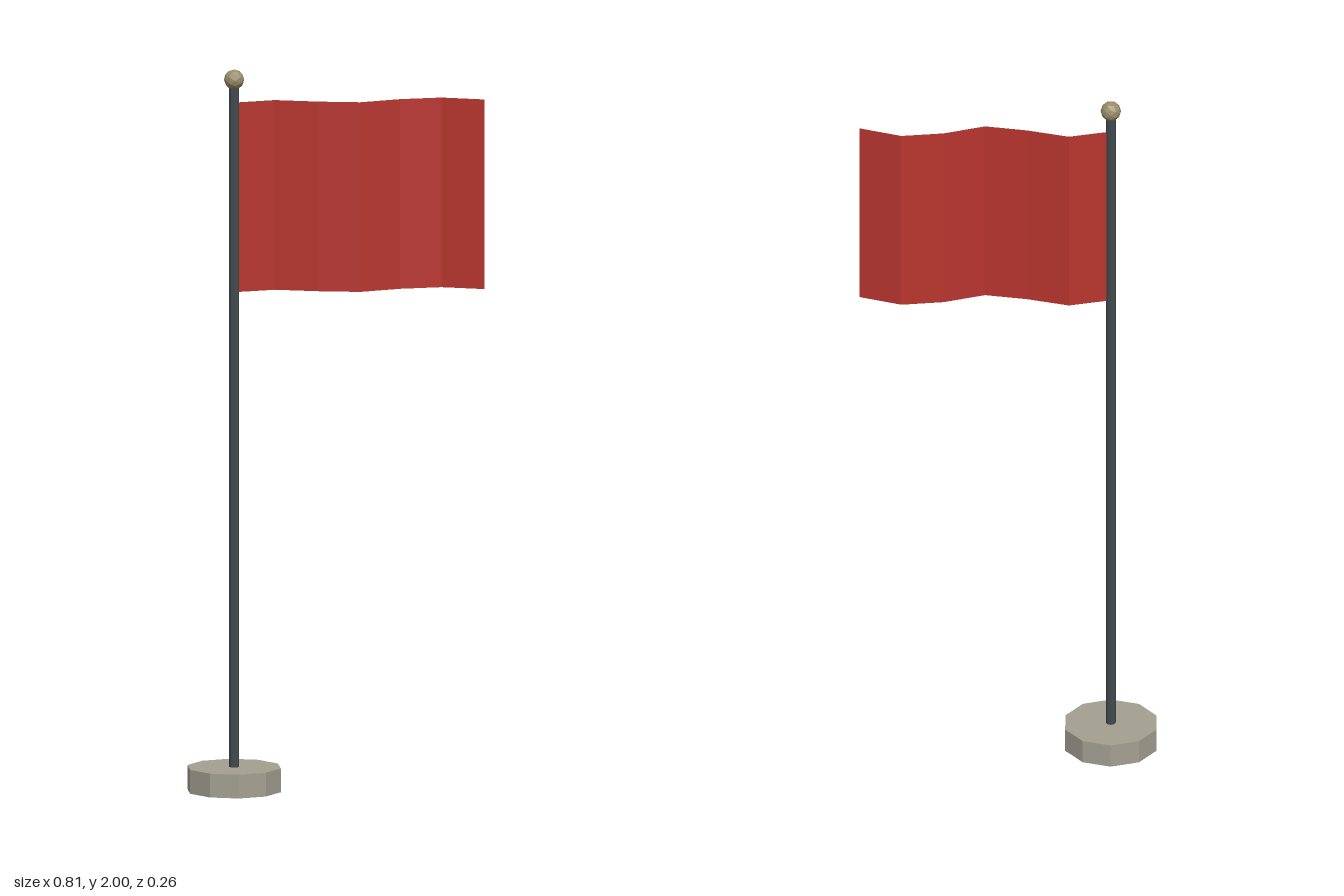
import * as THREE from 'three';

const POLE_X = -0.282;

export function createModel() {
  const group = new THREE.Group();
  const material = (name, color, extra = {}) => {
    const m = new THREE.MeshStandardMaterial({ color, flatShading: true, ...extra });
    m.name = name;
    return m;
  };
  const stone = material('stone', 0xa3a091);
  const metal = material('dark metal', 0x414a4e);
  const brass = material('dull brass', 0x998c6a);
  const cloth = material('red cloth', 0xb8342e, { side: THREE.DoubleSide });

  const add = (name, geometry, mat, x, y) => {
    const mesh = new THREE.Mesh(geometry, mat);
    mesh.name = name;
    mesh.position.set(x, y, 0);
    group.add(mesh);
  };

  // Ten-sided foot, slim pole and faceted ball on top
  add('base', new THREE.CylinderGeometry(0.131, 0.131, 0.066, 10), stone, POLE_X, 0.033);
  add('pole', new THREE.CylinderGeometry(0.0135, 0.0135, 1.93, 8), metal, POLE_X, 1.0);
  add('finial', new THREE.IcosahedronGeometry(0.028, 1), brass, POLE_X, 1.972);

  // Flag: a thin sheet of six panels, bent into a wave
  const width = 0.405 - POLE_X;
  const flag = new THREE.PlaneGeometry(width, 0.526, 6, 1);
  const p = flag.attributes.position;
  for (let i = 0; i < p.count; i++) {
    const column = (p.getX(i) / width + 0.5) * 6;
    p.setZ(i, -0.03 * Math.sin(1.67 * column));
  }
  flag.computeVertexNormals();
  add('flag', flag, cloth, POLE_X + width / 2, 1.645);

  return group;
}
